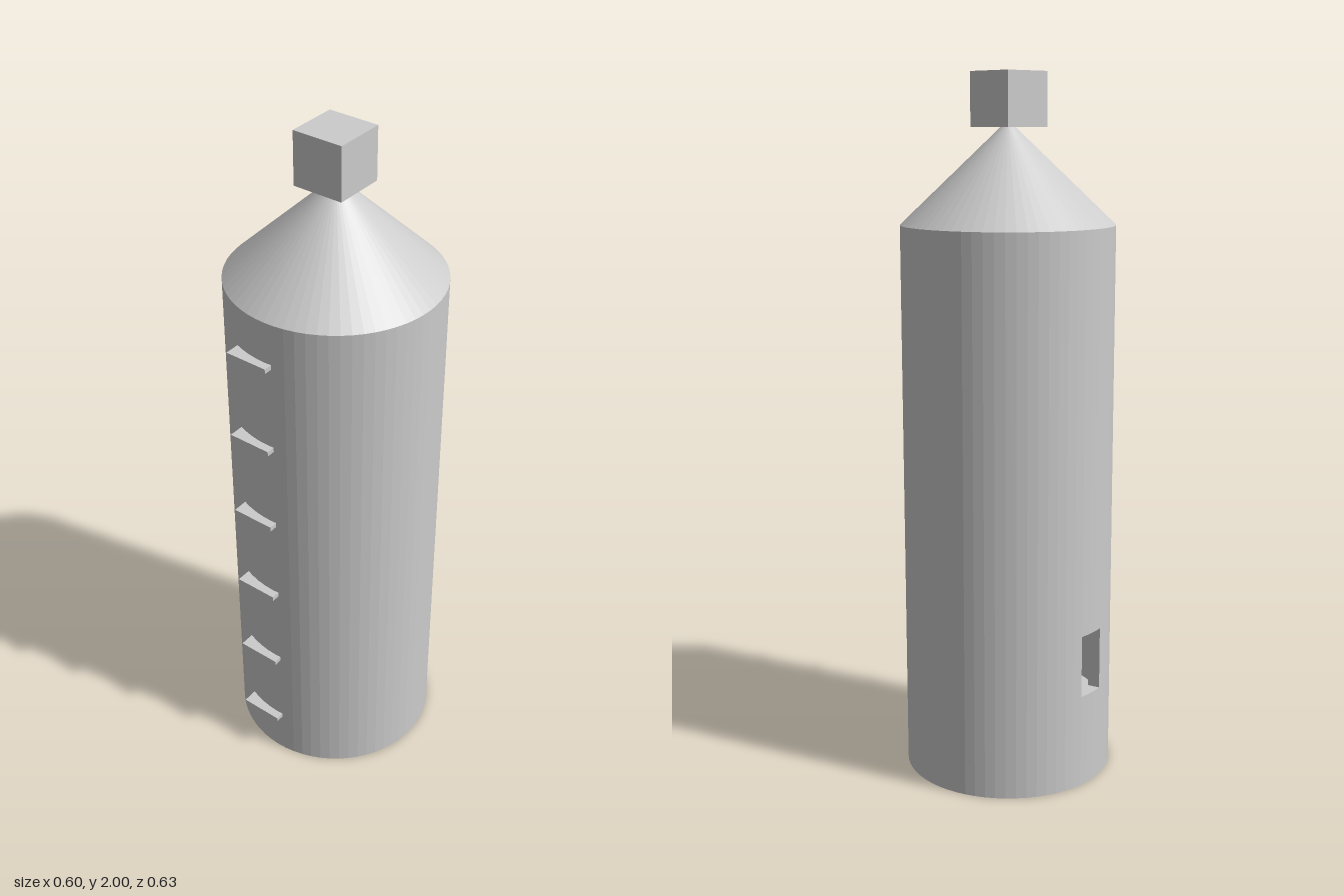
import * as THREE from 'three';

export function createModel() {
  const model = new THREE.Group();
  const grey = new THREE.MeshStandardMaterial({ color: 0xcccccc, flatShading: true });
  grey.name = 'light grey';

  const R = 0.301, INNER = 0.266, TOP = 1.585, FLOOR = 0.19, SEGS = 64;
  const SILL = 0.27, LINTEL = 0.45;
  const step = Math.PI * 2 / SEGS;
  const openStart = Math.PI * 1.5, openSegs = 3;
  const openEnd = openStart + openSegs * step;

  function add(name, geometry, parent, x = 0, y = 0, z = 0) {
    const mesh = new THREE.Mesh(geometry, grey);
    mesh.name = name;
    mesh.position.set(x, y, z);
    parent.add(mesh);
    return mesh;
  }

  const lathe = (points, segs = SEGS, start = 0) => new THREE.LatheGeometry(
    points.map(([r, y]) => new THREE.Vector2(r, y)), segs, start, segs * step);

  const tower = new THREE.Group();
  tower.name = 'tower';
  tower.position.z = -0.013;
  model.add(tower);

  // Hollow body in three bands; the middle one leaves a gap for the window
  add('lowerBody', lathe([[0, 0], [R, 0], [R, SILL], [INNER, SILL], [INNER, FLOOR], [0, FLOOR]]), tower);
  add('windowBand', lathe([[R, SILL], [R, LINTEL], [INNER, LINTEL], [INNER, SILL]],
    SEGS - openSegs, openEnd), tower);
  add('upperBody', lathe([[INNER, LINTEL], [R, LINTEL], [R, TOP], [INNER, TOP], [INNER, LINTEL]]), tower);

  // Window jambs closing the ends of the middle band
  for (const [angle, turn] of [[openStart, -Math.PI / 2], [openEnd, Math.PI / 2]]) {
    const mid = (R + INNER) / 2;
    const jamb = add('windowJamb', new THREE.PlaneGeometry(R - INNER, LINTEL - SILL), tower,
      Math.sin(angle) * mid, (SILL + LINTEL) / 2, Math.cos(angle) * mid);
    // the plane's normal points along the tangent, into the opening
    jamb.rotation.y = angle - turn;
  }

  // Conical roof with its cube finial
  add('roof', new THREE.ConeGeometry(R, 0.285, SEGS), tower, 0, TOP + 0.1425, 0);
  add('finial', new THREE.BoxGeometry(0.15, 0.15, 0.15), model, 0.002, 1.925, -0.008);

  // Ladder rungs up the front
  for (const y of [0.147, 0.398, 0.663, 0.928, 1.192, 1.457]) {
    add('rung', new THREE.BoxGeometry(0.128, 0.014, 0.05), model, -0.044, y, 0.287);
  }
  return model;
}
